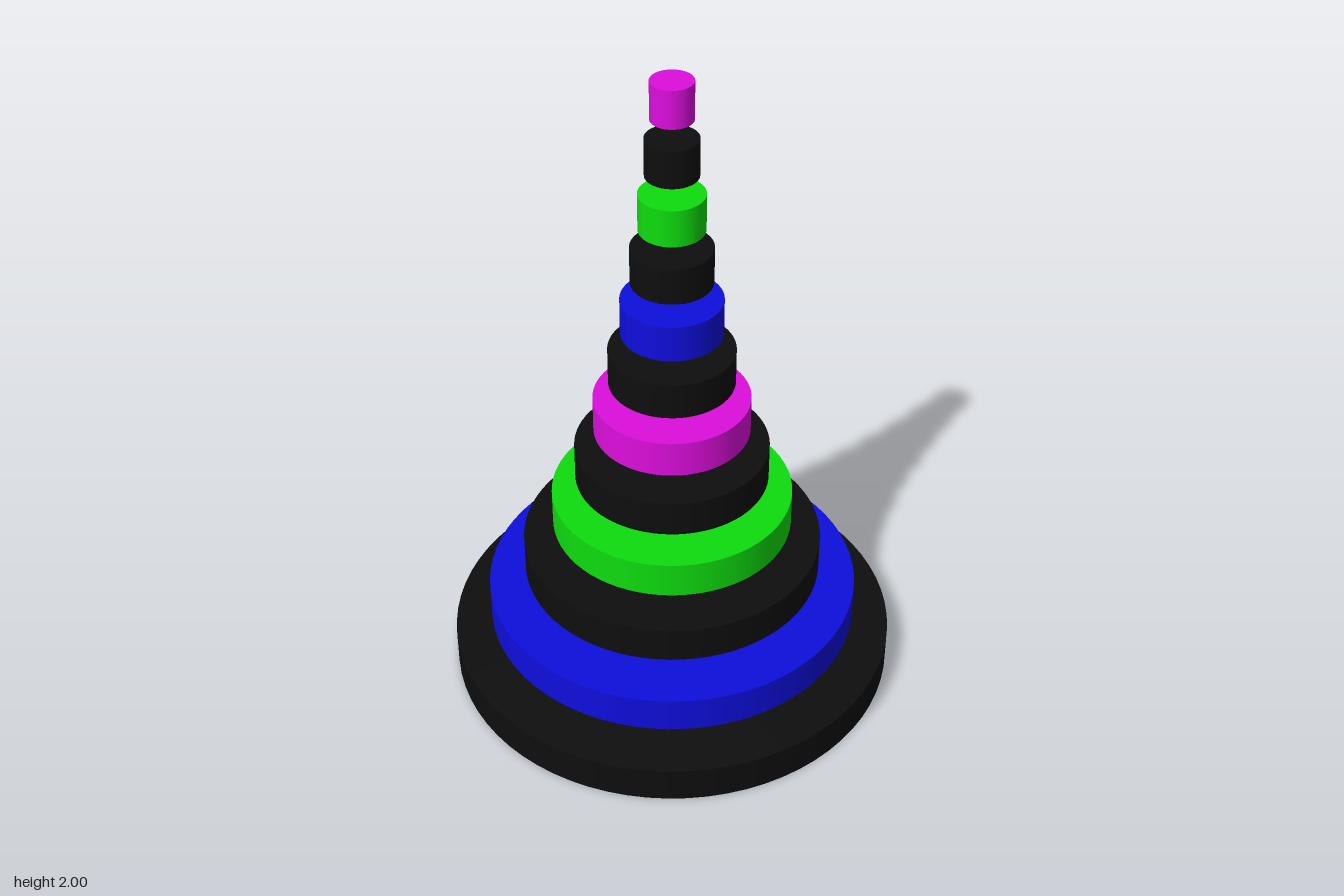
import * as THREE from 'three';

export function createModel() {
  const group = new THREE.Group();
  group.name = 'floatingDiscTower';

  const material = (name, color) => {
    const m = new THREE.MeshStandardMaterial({ color });
    m.name = name;
    return m;
  };
  const black = material('black', 0x0e0e0e);
  const blue = material('blue', 0x0e0edc);
  const green = material('green', 0x0edc0e);
  const magenta = material('magenta', 0xdc0edc);
  const bright = [blue, green, magenta];

  // Twelve separate discs: each is 2 units thick with a gap of 1 unit
  const count = 12;
  const unit = 2 / (count * 3 - 1);
  for (let i = 0; i < count; i++) {
    // The base is 1.2 times the second disc; above it each radius shrinks by a fifth
    const radius = i === 0 ? 12 * unit : 10 * unit * 0.8 ** (i - 1);
    const colour = i % 2 === 0 ? black : bright[((i - 1) / 2) % 3];
    const disc = new THREE.Mesh(
      new THREE.CylinderGeometry(radius, radius, 2 * unit, 72),
      colour
    );
    disc.name = i === 0 ? 'baseDisc' : `${colour.name}Disc${i}`;
    disc.position.y = unit * (3 * i + 1);
    group.add(disc);
  }
  return group;
}
